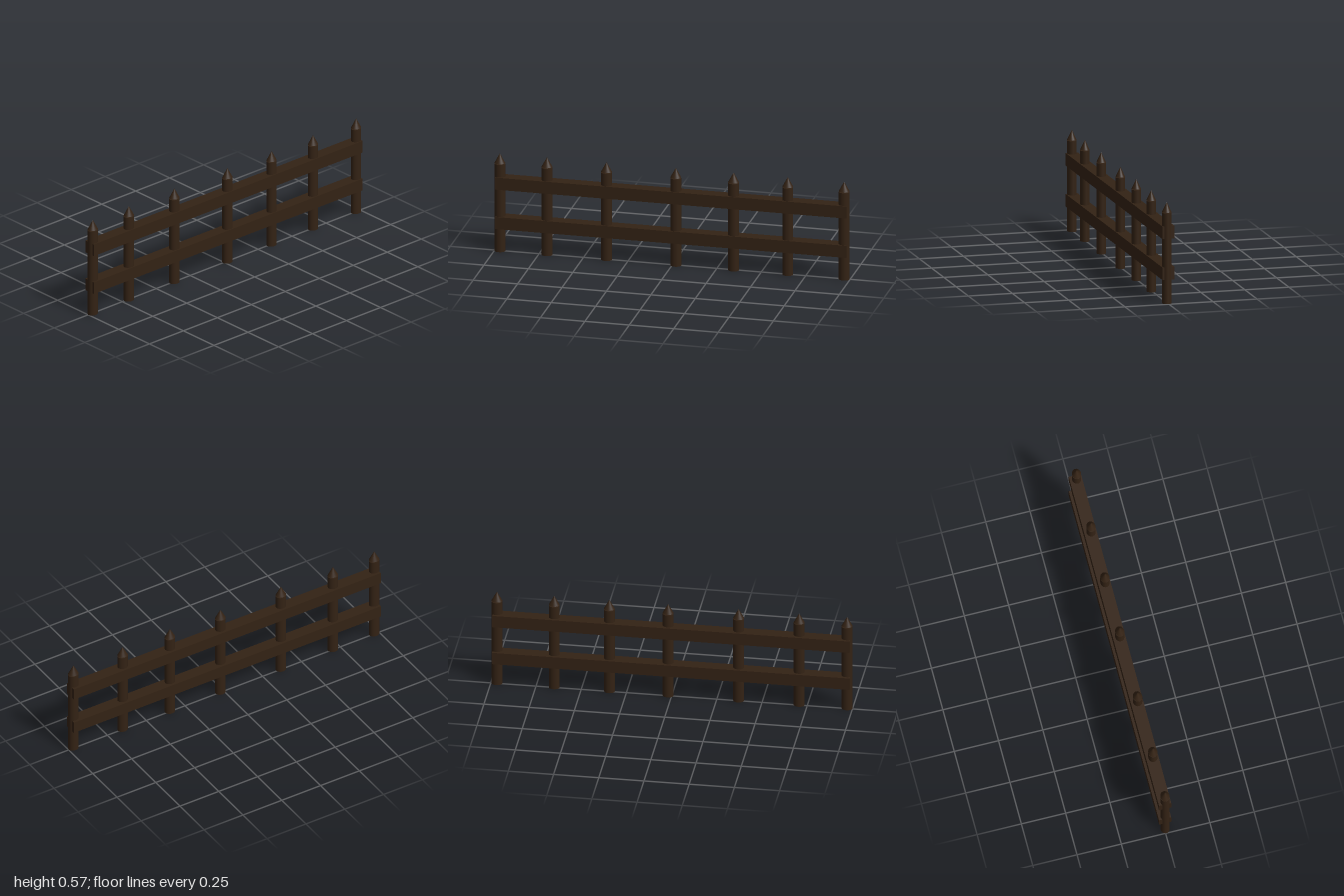
import * as THREE from 'three';

export function createModel() {
  const fence = new THREE.Group();
  fence.name = 'fence';
  const wood = new THREE.MeshStandardMaterial({ color: 0x332214 });

  const add = (parent, name, geometry, x, y, z) => {
    const mesh = new THREE.Mesh(geometry, wood);
    mesh.name = name;
    mesh.position.set(x, y, z);
    parent.add(mesh);
  };

  // Slightly oval round posts, each with a pointed cap just above it
  const postHeight = 0.507, capBase = 0.511, capHeight = 0.055;
  const shaft = new THREE.CylinderGeometry(0.03, 0.03, postHeight, 32).scale(1, 1, 0.85);
  const point = new THREE.ConeGeometry(0.03, capHeight, 32).scale(1, 1, 0.85);
  for (const x of [-0.97, -0.705, -0.37, 0.02, 0.345, 0.65, 0.967]) {
    const post = new THREE.Group();
    post.name = 'post';
    post.position.set(x, 0, 0.004);
    add(post, 'postShaft', shaft, 0, postHeight / 2, 0);
    add(post, 'postPoint', point, 0, capBase + capHeight / 2, 0);
    fence.add(post);
  }

  // Two solid rails running through the posts
  const rail = new THREE.BoxGeometry(1.978, 0.07, 0.069);
  add(fence, 'lowerRail', rail, -0.001, 0.17, 0);
  add(fence, 'upperRail', rail, -0.001, 0.399, 0);

  return fence;
}
